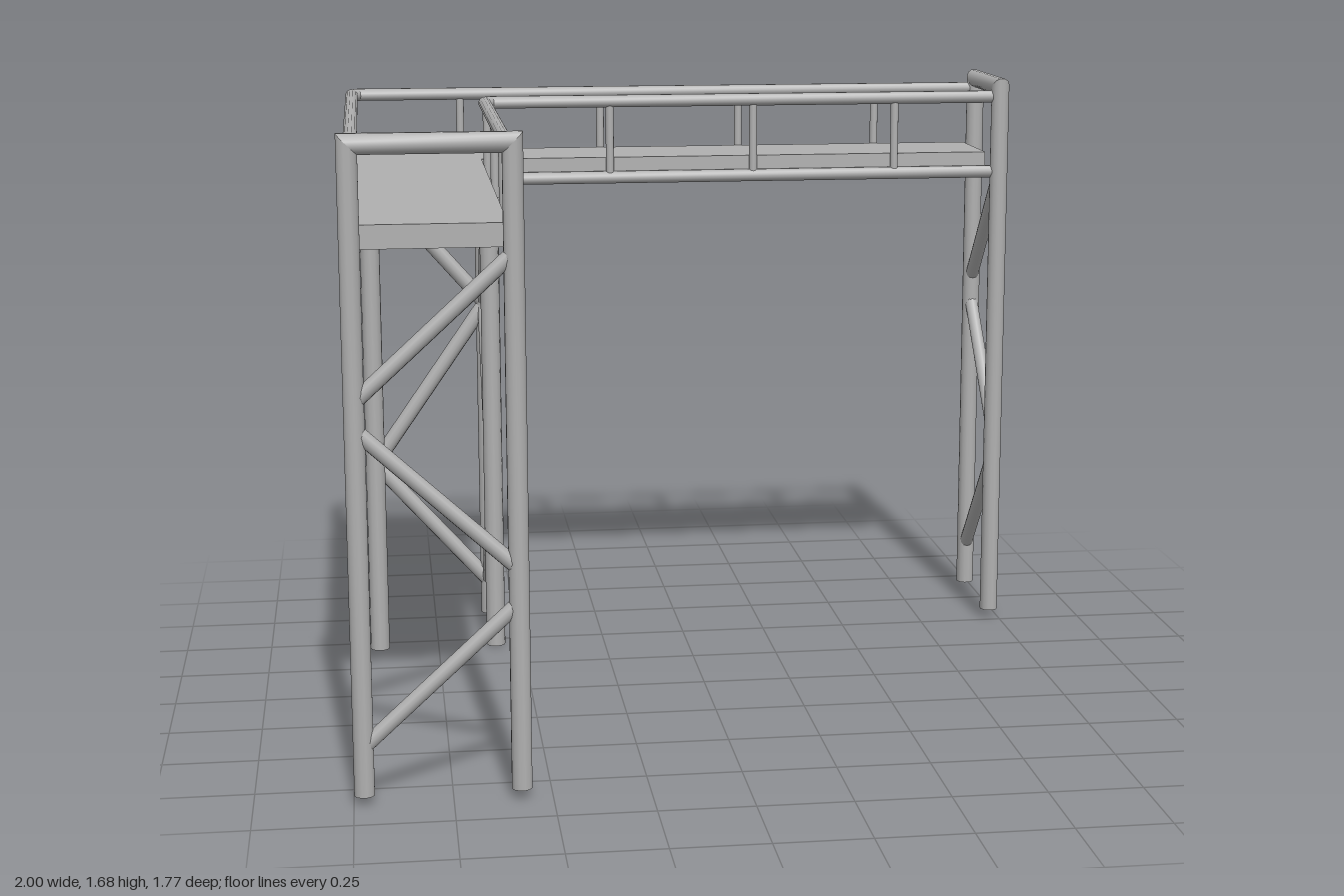
import * as THREE from 'three';

const SIDES = 12;
const V = (x, y, z) => new THREE.Vector3(x, y, z);

// Round bar swept along a flat path with mitred joints and closed ends; n is the normal of the path's plane
function sweep(points, r, n) {
  const pos = [], idx = [];
  const dirs = points.slice(1).map((p, i) => p.clone().sub(points[i]).normalize());
  const sides = dirs.map(d => n.clone().cross(d));
  const ring = k => {
    const a = sides[Math.max(k - 1, 0)], b = sides[Math.min(k, sides.length - 1)];
    const m = a.clone().add(b).normalize();
    m.divideScalar(m.dot(a));
    return Array.from({ length: SIDES }, (_, i) => {
      const t = (i + 0.5) / SIDES * Math.PI * 2;
      return points[k].clone().addScaledVector(m, r * Math.cos(t)).addScaledVector(n, r * Math.sin(t));
    });
  };
  const put = list => {
    const base = pos.length / 3;
    list.forEach(p => pos.push(p.x, p.y, p.z));
    return base;
  };
  for (let k = 0; k < dirs.length; k++) {
    const a = put(ring(k)), b = put(ring(k + 1));
    for (let i = 0; i < SIDES; i++) {
      const j = (i + 1) % SIDES;
      idx.push(a + i, a + j, b + i, a + j, b + j, b + i);
    }
  }
  const last = points.length - 1;
  const s = put(ring(0)), e = put(ring(last));
  for (let i = 1; i < SIDES - 1; i++) idx.push(s, s + i + 1, s + i, e, e + i, e + i + 1);
  const g = new THREE.BufferGeometry();
  g.setAttribute('position', new THREE.Float32BufferAttribute(pos, 3));
  g.setIndex(idx);
  g.computeVertexNormals();
  return g;
}

export function createModel() {
  const model = new THREE.Group();
  model.name = 'walkway';
  const steel = new THREE.MeshStandardMaterial({ color: 0xb0b0b0 });
  steel.name = 'steel grey';

  const add = (parent, name, geometry) => {
    const mesh = new THREE.Mesh(geometry, steel);
    mesh.name = name;
    parent.add(mesh);
    return mesh;
  };
  const group = name => {
    const g = new THREE.Group();
    g.name = name;
    model.add(g);
    return g;
  };
  const bar = (parent, name, a, b, r) => {
    const d = b.clone().sub(a);
    const mesh = add(parent, name, new THREE.CylinderGeometry(r, r, d.length(), SIDES));
    mesh.position.copy(a).add(b).multiplyScalar(0.5);
    mesh.quaternion.setFromUnitVectors(V(0, 1, 0), d.normalize());
  };

  // L-shaped deck
  const outline = [[-0.955, -0.83], [-0.59, -0.83], [-0.59, 0.56], [0.935, 0.56], [0.935, 0.85], [-0.955, 0.85]];
  const deck = new THREE.ExtrudeGeometry(
    new THREE.Shape(outline.map(([x, y]) => new THREE.Vector2(x, y))), { depth: 0.06, bevelEnabled: false });
  deck.rotateX(-Math.PI / 2).translate(0, 1.4, 0);
  add(model, 'deck', deck);

  // Upper and lower rails with bevelled corners, outer and inner runs
  const rails = group('rails');
  const railRun = (name, x, z, y) => {
    const c = 0.02;
    add(rails, name, sweep([V(x, y, 0.86), V(x, y, z + c), V(x + c, y, z), V(0.973, y, z)], 0.0185, V(0, 1, 0)));
  };
  for (const [level, y] of [['upper', 1.628], ['lower', 1.402]]) {
    railRun(level + 'OuterRail', -0.967, -0.863, y);
    railRun(level + 'InnerRail', -0.579, -0.547, y);
  }

  // Balusters
  const balusters = group('balusters');
  const baluster = (x, z) => bar(balusters, 'baluster', V(x, 1.41, z), V(x, 1.62, z), 0.012);
  for (let i = 0; i < 4; i++) {
    baluster(0.65 - i * 0.43, -0.863);
    baluster(-0.967, 0.44 - i * 0.425);
    if (i < 3) {
      baluster(0.65 - i * 0.43, -0.547);
      baluster(-0.579, 0.44 - i * 0.425);
    }
  }

  // End portals: arched frame with zigzag braces; at(s, y) maps s = 0..1 across the frame
  const portal = (name, n, at) => {
    const g = group(name);
    add(g, 'portalFrame', sweep([at(0, 0.025), at(0, 1.658), at(1, 1.658), at(1, 0.025)], 0.0265, n));
    for (const [a, b] of [[0.16, 0.5], [0.95, 0.61], [1.04, 1.38]])
      bar(g, 'brace', at(0.03, a), at(0.97, b), 0.02);
  };
  portal('frontPortal', V(0, 0, 1), (s, y) => V(-0.973 + s * 0.395, y, 0.857));
  portal('leftPortal', V(1, 0, 0), (s, y) => V(0.973, y, -0.86 + s * 0.32));

  // Corner tower: four posts, three braced faces
  const tower = group('cornerTower');
  const x0 = -0.925, x1 = -0.577, z0 = -0.797, z1 = -0.45;
  for (const x of [x0, x1])
    for (const z of [z0, z1])
      bar(tower, 'towerPost', V(x, 0, z), V(x, z === z1 ? 1.435 : 1.41, z), 0.028);
  const heights = [0.1, 0.49, 0.99, 1.39];
  const zigzag = at => {
    for (let i = 0; i < 3; i++)
      bar(tower, 'towerBrace', at(i % 2, heights[i]), at((i + 1) % 2, heights[i + 1]), 0.023);
  };
  const mix = THREE.MathUtils.lerp;
  zigzag((s, y) => V(mix(x1, x0, s), y, z0));
  for (const x of [x0, x1]) zigzag((s, y) => V(x, y, mix(z0, z1, s)));

  return model;
}
